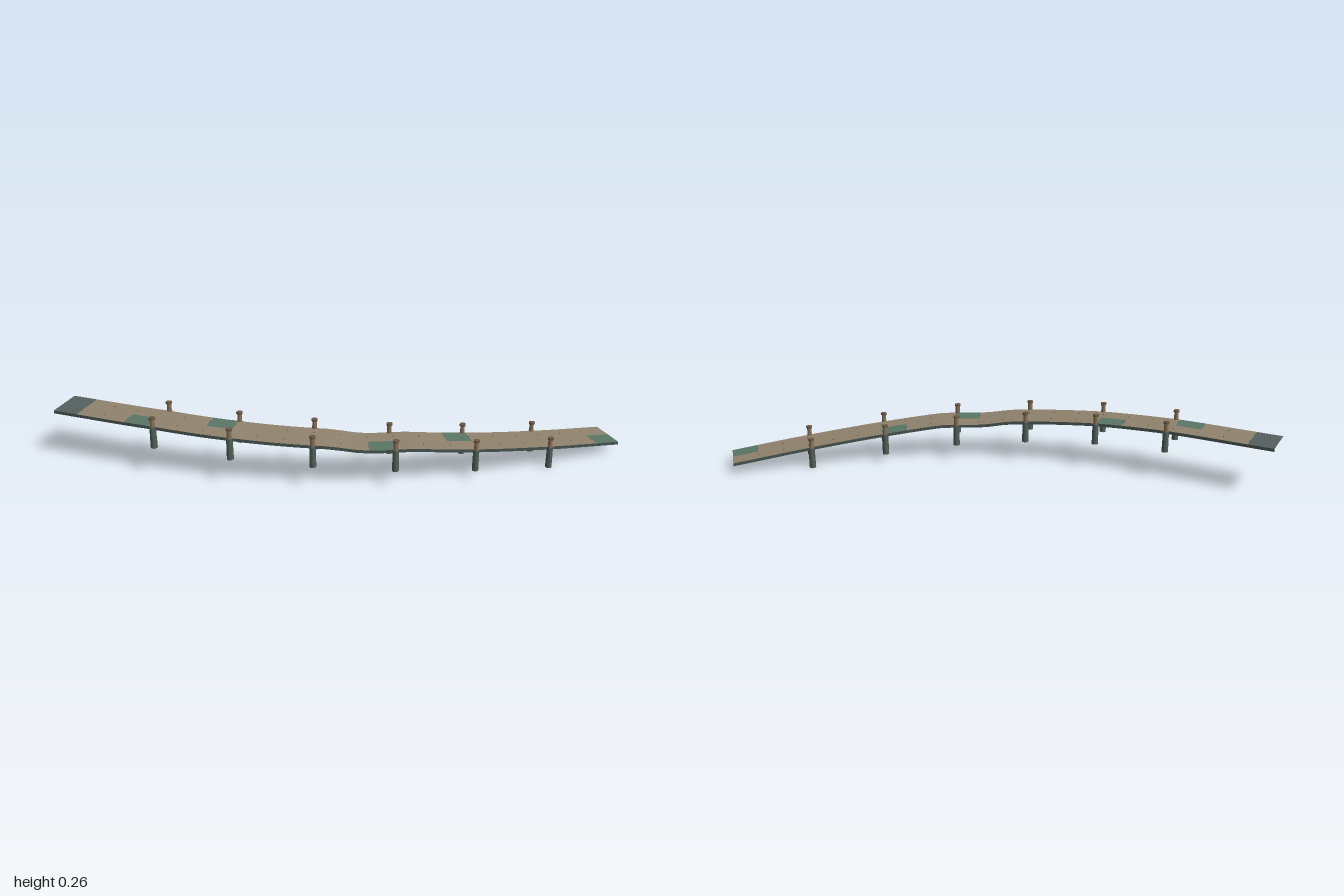
import * as THREE from 'three';

const mat = (name, color, side = THREE.FrontSide) => {
  const m = new THREE.MeshStandardMaterial({ color, side });
  m.name = name;
  return m;
};

// Plan of the walkway's centre line, and its height along the length
const path = new THREE.CatmullRomCurve3([
  [-0.985, 0.605], [-0.553, 0.508], [-0.245, 0.412], [0.037, 0.273],
  [0.295, 0.097], [0.528, -0.126], [0.737, -0.375], [0.935, -0.645],
].map(([x, z]) => new THREE.Vector3(x, 0, z)));
const heights = [[0, 0.22], [0.19, 0.219], [0.322, 0.209], [0.455, 0.192], [0.485, 0.188],
  [0.536, 0.168], [0.616, 0.165], [0.722, 0.133], [0.859, 0.093], [1, 0.052]];
const SEGMENTS = 22, HALF = 0.078, THICK = 0.013;

function heightAt(u) {
  const i = Math.min(Math.max(heights.findIndex(([k]) => k >= u), 1), heights.length - 1);
  const [u0, y0] = heights[i - 1], [u1, y1] = heights[i];
  return y0 + (y1 - y0) * (u - u0) / (u1 - u0);
}

// Point on the walkway: u along it, side from -1 (back) to 1 (front), lift above the deck
function place(u, side, lift = 0) {
  const p = path.getPointAt(u), t = path.getTangentAt(u);
  return new THREE.Vector3(p.x - t.z * HALF * side, heightAt(u) + lift, p.z + t.x * HALF * side);
}

// Ribbon between two cross-section points [side, lift], over segments from..to
function ribbon(a, b, from, to) {
  const pos = [], index = [], steps = (to - from) * 2;
  for (let i = 0; i <= steps; i++) {
    const u = Math.min((from + i / 2) / SEGMENTS, 1);
    pos.push(...place(u, ...a).toArray(), ...place(u, ...b).toArray());
    if (i < steps) {
      const k = i * 2;
      index.push(k, k + 1, k + 2, k + 1, k + 3, k + 2);
    }
  }
  const g = new THREE.BufferGeometry();
  g.setAttribute('position', new THREE.Float32BufferAttribute(pos, 3));
  g.setIndex(index);
  g.computeVertexNormals();
  return g;
}

export function createModel() {
  const group = new THREE.Group();
  const planks = mat('weathered planks', 0x91846f);
  const moss = mat('mossy panel', 0x5a7766);
  const slate = mat('slate threshold', 0x566260);
  const frame = mat('dark frame', 0x46534e);
  const pile = mat('pile grey green', 0x52605a);
  const wood = mat('post wood', 0x8a7158);
  const capWood = mat('cap wood', 0x6e5844);
  const add = (name, geometry, material, parent = group) => {
    const m = new THREE.Mesh(geometry, material);
    m.name = name;
    parent.add(m);
    return m;
  };

  // Deck: slate threshold, then planks in two lanes with mossy panels
  add('threshold', ribbon([-1, 0], [1, 0], 0, 1), slate);
  const lanes = [
    { name: 'backLane', a: -1, b: 0, panels: [6, 15] },
    { name: 'frontLane', a: 0, b: 1, panels: [3, 12, 21] },
  ];
  for (const { name, a, b, panels } of lanes) {
    let start = 1;
    for (const p of [...panels, SEGMENTS]) {
      if (p > start) add(name, ribbon([a, 0], [b, 0], start, p), planks);
      if (p < SEGMENTS) add('mossyPanel', ribbon([a, 0], [b, 0], p, p + 1), moss);
      start = p + 1;
    }
  }

  // Edge boards and underside
  add('frontEdge', ribbon([1, 0], [1, -THICK], 0, SEGMENTS), frame);
  add('backEdge', ribbon([-1, -THICK], [-1, 0], 0, SEGMENTS), frame);
  add('underside', ribbon([1, -THICK], [-1, -THICK], 0, SEGMENTS), frame);

  // Posts in pairs: pile below the deck, wooden post and cap above
  const pileGeo = new THREE.CylinderGeometry(0.013, 0.014, 0.09, 8);
  const postGeo = new THREE.CylinderGeometry(0.009, 0.01, 0.036, 8);
  const capGeo = new THREE.CylinderGeometry(0.013, 0.013, 0.008, 8);
  for (const u of [0.19, 0.322, 0.455, 0.587, 0.722, 0.859]) {
    for (const side of [-1, 1]) {
      const post = new THREE.Group();
      post.name = side < 0 ? 'backPost' : 'frontPost';
      post.position.copy(place(u, side));
      add('pile', pileGeo, pile, post).position.y = -0.047;
      add('postTop', postGeo, wood, post).position.y = 0.016;
      add('postCap', capGeo, capWood, post).position.y = 0.037;
      group.add(post);
    }
  }

  // Nail heads along the deck
  const nailGeo = new THREE.BoxGeometry(0.004, 0.002, 0.004);
  for (let i = 1; i < SEGMENTS; i++) {
    for (const side of [-0.5, 0.5]) {
      add('nail', nailGeo, frame).position.copy(place(i / SEGMENTS, side, 0.0005));
    }
  }
  return group;
}
